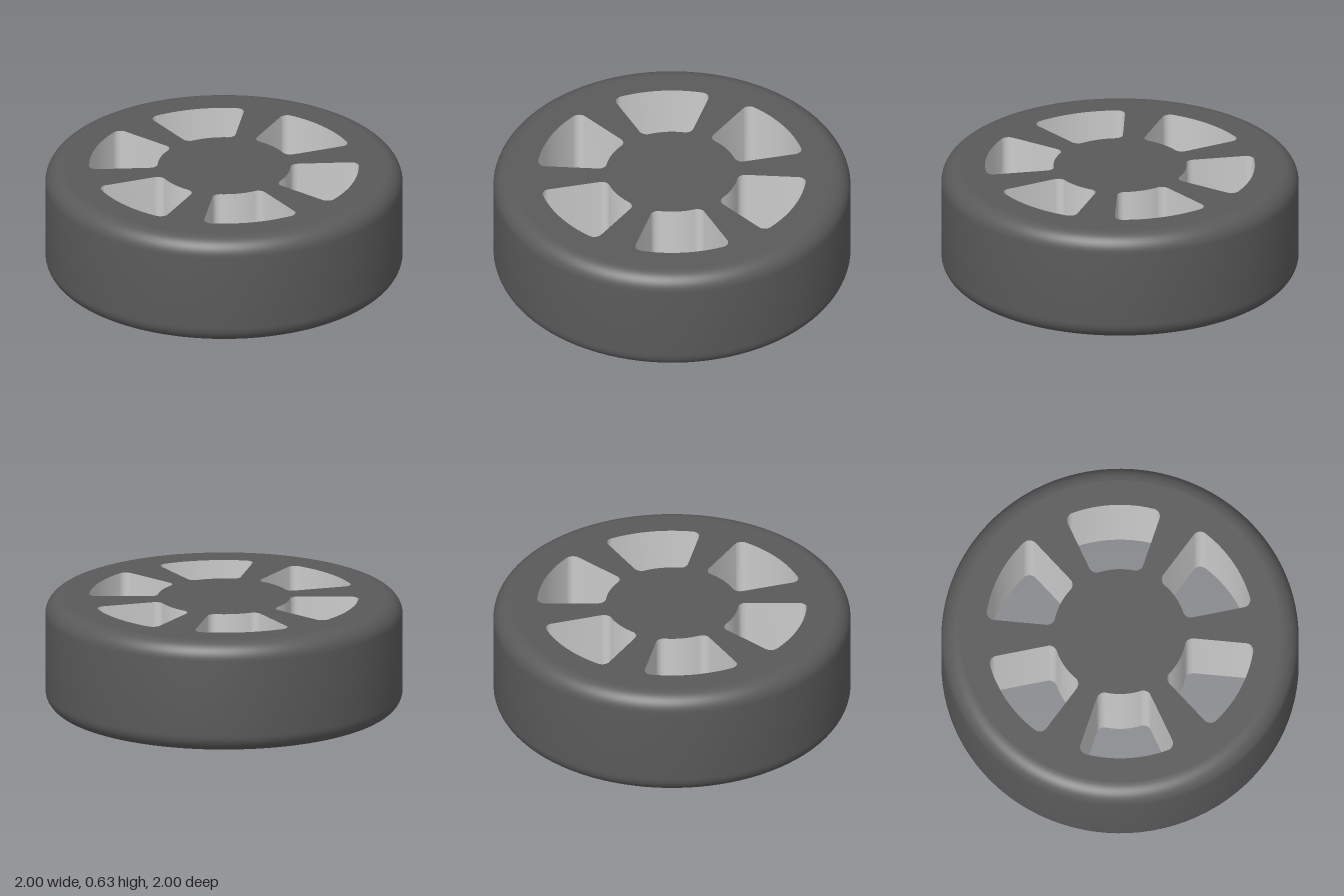
import * as THREE from 'three';
import { toCreasedNormals } from 'three/addons/utils/BufferGeometryUtils.js';

const HEIGHT = 0.635, FLOOR = 0.065, SEGMENTS = 96;
const grey = new THREE.MeshStandardMaterial({ color: 0xcccccc });
const rubber = new THREE.MeshStandardMaterial({ color: 0x5a5a5a });

function part(name, geometry, material) {
  const mesh = new THREE.Mesh(geometry, material);
  mesh.name = name;
  return mesh;
}

// Quarter-round profile points about a centre
function arc(cx, cy, rx, ry, from, to, steps = 10) {
  return Array.from({ length: steps + 1 }, (_, i) => {
    const a = THREE.MathUtils.degToRad(from + (to - from) * i / steps);
    return [cx + rx * Math.cos(a), cy + ry * Math.sin(a)];
  });
}

function lathe(points) {
  const g = new THREE.LatheGeometry(points.map(p => new THREE.Vector2(...p)), SEGMENTS);
  return toCreasedNormals(g, 0.6);
}

// Window between two spokes: ring sector with rounded corners
function windowPath(angle) {
  const R = 0.755, r = 0.372, f = 0.045, half = THREE.MathUtils.degToRad(21.3);
  const o = half - Math.asin(f / (R - f)), i = half - Math.asin(f / (r + f));
  const q = Math.PI / 2, path = new THREE.Path();
  const corner = (dist, at, from, to) => path.absarc(
    dist * Math.cos(angle + at), dist * Math.sin(angle + at), f, angle + from, angle + to, false);
  path.absarc(0, 0, R, angle - o, angle + o, false);
  corner(R - f, o, o, half + q);
  corner(r + f, i, half + q, i + 2 * q);
  path.absarc(0, 0, r, angle + i, angle - i, true);
  corner(r + f, -i, -i - 2 * q, -half - q);
  corner(R - f, -o, -half - q, -o);
  path.closePath();
  return path;
}

// Inward-facing wall around a window
function windowWall(path) {
  const pts = path.getPoints(12), pos = [];
  for (let k = 0; k < pts.length; k++) {
    const a = pts[k], b = pts[(k + 1) % pts.length];
    if (a.distanceTo(b) < 1e-6) continue;
    const a0 = [a.x, FLOOR, -a.y], a1 = [a.x, HEIGHT, -a.y];
    const b0 = [b.x, FLOOR, -b.y], b1 = [b.x, HEIGHT, -b.y];
    pos.push(...a0, ...b1, ...b0, ...a0, ...a1, ...b1);
  }
  const g = new THREE.BufferGeometry();
  g.setAttribute('position', new THREE.Float32BufferAttribute(pos, 3));
  return toCreasedNormals(g, 0.5);
}

function piercedDisc(radius, holes) {
  const shape = new THREE.Shape().absarc(0, 0, radius, 0, Math.PI * 2, false);
  shape.holes.push(...holes);
  return new THREE.ShapeGeometry(shape, SEGMENTS / 2);
}

export function createModel() {
  const wheel = new THREE.Group();
  wheel.name = 'wheel';
  const windows = Array.from({ length: 6 }, (_, k) => windowPath(Math.PI / 6 + k * Math.PI / 3));

  // Tyre with rounded shoulders
  wheel.add(part('tyre', lathe([
    [0.88, 0], ...arc(0.9, 0.1, 0.1, 0.1, -90, 0),
    ...arc(0.9, HEIGHT - 0.1, 0.1, 0.1, 0, 90),
  ]), rubber));

  // Flat spoked face on top, recessed floor underneath
  wheel.add(part('spokeFace', piercedDisc(0.9, windows).rotateX(-Math.PI / 2).translate(0, HEIGHT, 0), rubber));
  wheel.add(part('recessFloor', piercedDisc(0.82, windows).rotateX(Math.PI / 2).translate(0, FLOOR, 0), grey));
  windows.forEach(w => wheel.add(part('windowWall', windowWall(w), grey)));

  // Hollow-rounded wall of the underside recess
  wheel.add(part('recessWall', lathe(arc(0.82, 0, 0.06, FLOOR, 90, 0)), grey));

  // Thin hub ring flaring into the floor
  wheel.add(part('hubRing', lathe([
    [0.262, FLOOR], [0.262, 0], ...arc(0.324, 0, 0.052, FLOOR, 180, 90),
  ]), grey));

  // Centre stud with a filleted foot
  wheel.add(part('centreStud', lathe([
    [0, 0], [0.093, 0], ...arc(0.126, 0.032, 0.033, 0.033, 180, 90),
  ]), grey));

  return wheel;
}
